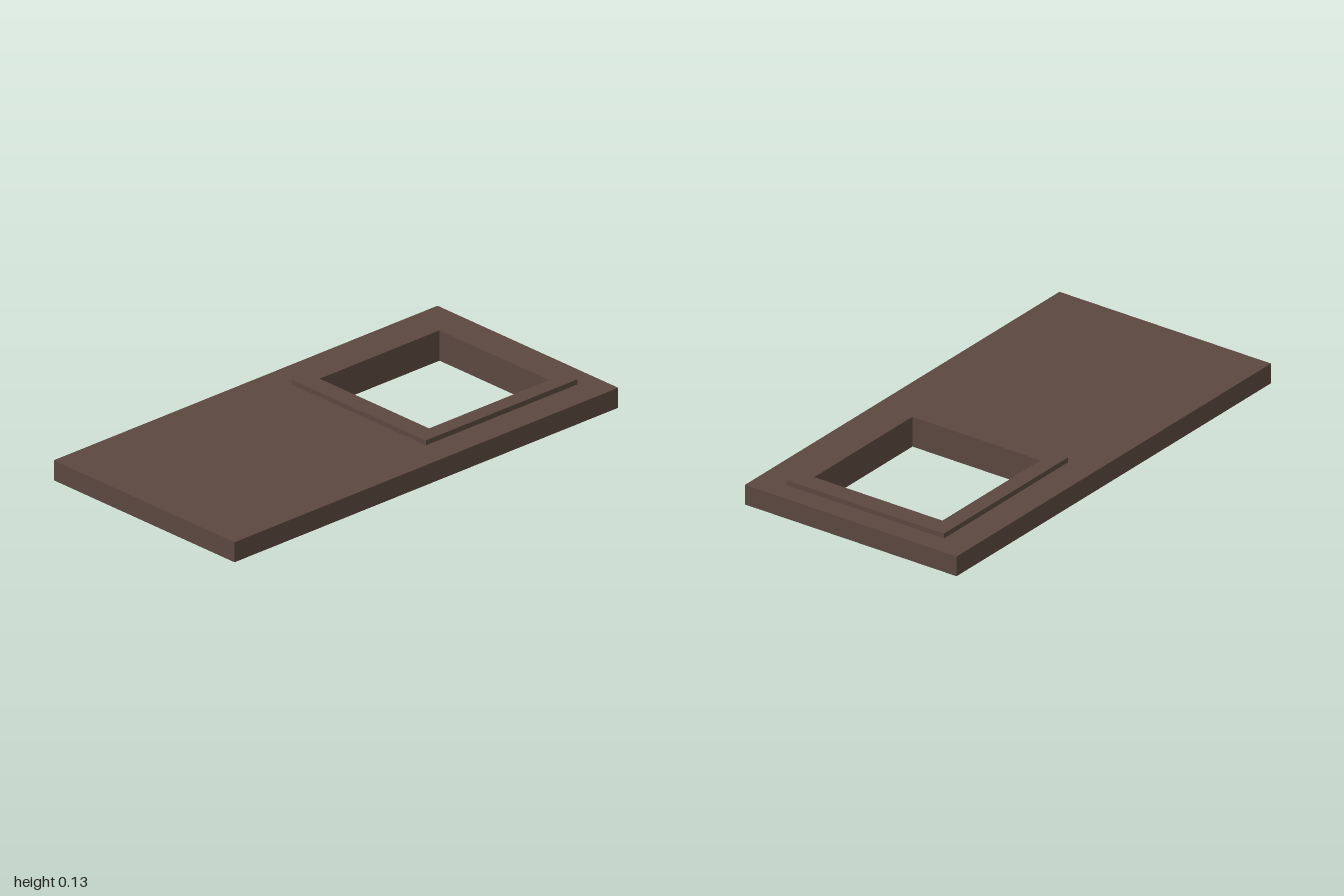
import * as THREE from 'three';

// Rectangle outline on the ground plane; shape y is -z
function rectangle(PathType, halfWidth, zBack, zFront) {
  const path = new PathType();
  path.moveTo(-halfWidth, -zFront);
  path.lineTo(halfWidth, -zFront);
  path.lineTo(halfWidth, -zBack);
  path.lineTo(-halfWidth, -zBack);
  path.closePath();
  return path;
}

// Flat slab with a rectangular opening, standing from y = bottom to y = top
function slabWithOpening(name, outer, opening, bottom, top, material) {
  const shape = rectangle(THREE.Shape, ...outer);
  shape.holes.push(rectangle(THREE.Path, ...opening));
  const geometry = new THREE.ExtrudeGeometry(shape, { depth: top - bottom, bevelEnabled: false });
  geometry.rotateX(-Math.PI / 2);
  geometry.translate(0, bottom, 0);
  const mesh = new THREE.Mesh(geometry, material);
  mesh.name = name;
  return mesh;
}

export function createModel() {
  const model = new THREE.Group();
  model.name = 'doorPanelWithWindow';

  const brown = new THREE.MeshStandardMaterial({ color: 0x5c4840 });
  brown.name = 'dark brown';

  // [half width, back z, front z]
  const panelEdge = [0.5, -1, 1];
  const frameEdge = [0.372, -0.908, -0.118];
  const windowEdge = [0.303, -0.825, -0.2];

  // Door leaf, cut out to receive the window frame
  model.add(slabWithOpening('doorPanel', panelEdge, frameEdge, 0.022, 0.106, brown));
  // Window frame, standing proud on both faces
  model.add(slabWithOpening('windowFrame', frameEdge, windowEdge, 0, 0.127, brown));

  return model;
}
